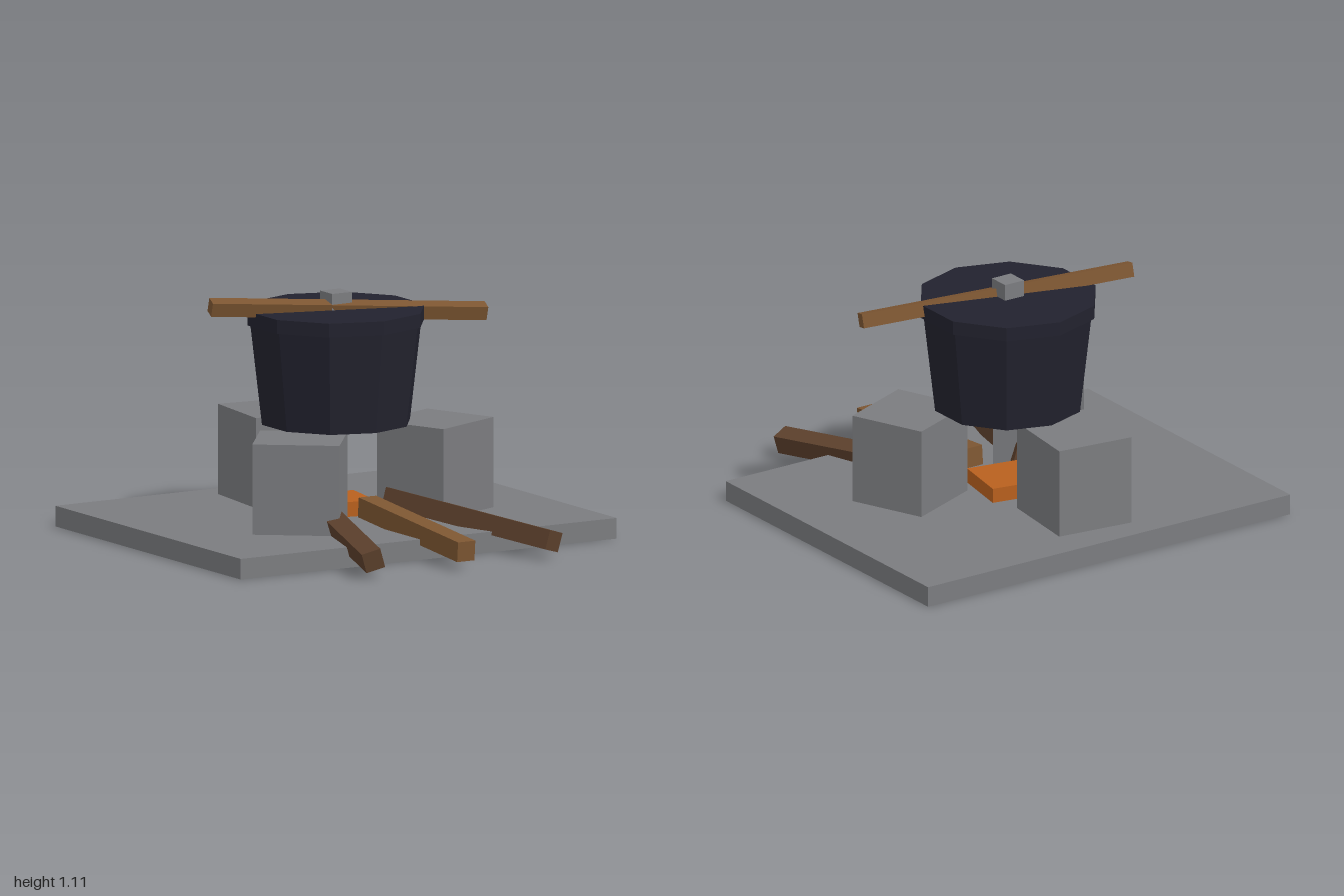
import * as THREE from 'three';

const paint = (name, color) => {
  const m = new THREE.MeshStandardMaterial({ color, flatShading: true });
  m.name = name;
  return m;
};

export function createModel() {
  const model = new THREE.Group();
  const stone = paint('stone grey', 0x7b7c7f);
  const iron = paint('iron black', 0x22222e);
  const lightWood = paint('light wood', 0x7d5632);
  const darkWood = paint('dark wood', 0x5c402c);
  const ember = paint('ember orange', 0xb8601e);
  const Z = -0.167; // hearth centre

  const add = (name, geometry, material, x, y, z, turn = 0) => {
    const mesh = new THREE.Mesh(geometry, material);
    mesh.name = name;
    mesh.position.set(x, y, z);
    mesh.rotation.y = turn;
    model.add(mesh);
    return mesh;
  };

  // Square timber between two end centres, rolled about its own axis
  const beam = (name, material, from, to, size, roll) => {
    const a = new THREE.Vector3(...from);
    const b = new THREE.Vector3(...to);
    const mid = a.clone().lerp(b, 0.5);
    const mesh = add(name, new THREE.BoxGeometry(size, size, a.distanceTo(b)), material, mid.x, mid.y, mid.z);
    mesh.lookAt(b);
    mesh.rotateZ(roll);
  };

  // Hearth slab
  add('slab', new THREE.BoxGeometry(2, 0.095, 1.6), stone, 0, 0.0475, Z);

  // Three supporting stones: x, z, width, depth, turn
  [
    ['backStone', -0.053, -0.615, 0.372, 0.405, -0.115],
    ['rightStone', -0.361, 0.107, 0.397, 0.366, -0.651],
    ['leftStone', 0.42, 0.008, 0.389, 0.37, 0.396],
  ].forEach(([name, x, z, w, d, turn]) =>
    add(name, new THREE.BoxGeometry(w, 0.42, d), stone, x, 0.3, z, turn));

  // Embers under the pot
  add('embers', new THREE.BoxGeometry(0.28, 0.08, 0.28), ember, 0, 0.123, Z, -0.18);

  // Firewood feeding in from the front
  beam('middleLog', lightWood, [0, 0.085, 0.957], [0, 0.161, 0.1], 0.092, 0);
  for (const s of [-1, 1]) {
    beam(s < 0 ? 'rightLog' : 'leftLog', darkWood,
      [s * 0.48, 0.083, 0.935], [s * 0.196, 0.163, -0.02], 0.09, s * 0.28);
  }

  // Pot, lid and lid knob
  add('pot', new THREE.CylinderGeometry(0.4, 0.345, 0.47, 10), iron, 0, 0.745, Z);
  add('lid', new THREE.CylinderGeometry(0.413, 0.413, 0.064, 10), iron, 0, 1.002, Z);
  add('knob', new THREE.BoxGeometry(0.104, 0.1, 0.104), stone, 0, 1.06, Z);

  // Stick resting across the lid
  beam('stirringStick', lightWood, [-0.587, 1.071, -0.3], [0.665, 0.99, 0.045], 0.065, 0.26);

  return model;
}
